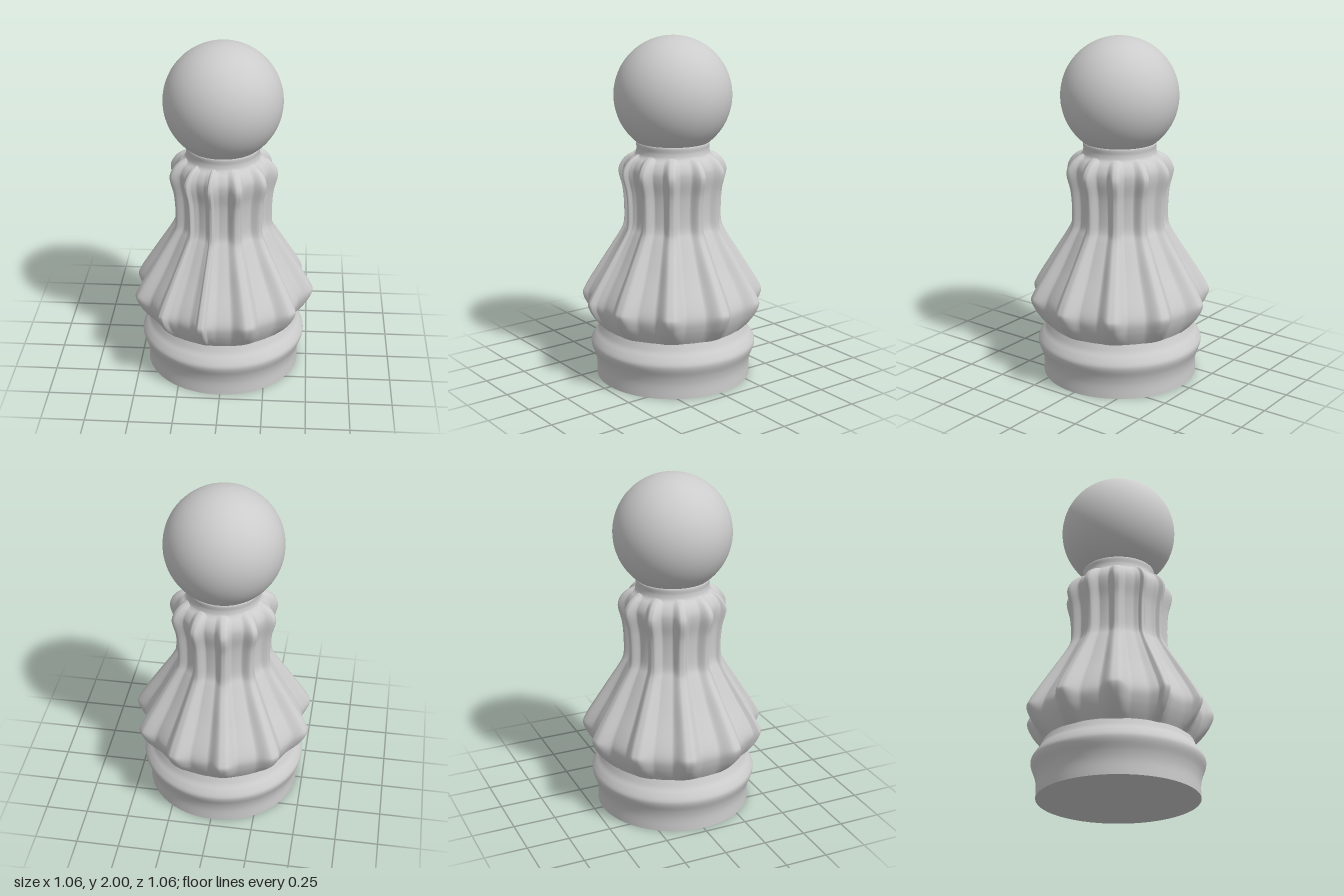
import * as THREE from 'three';

const material = new THREE.MeshStandardMaterial({ color: 0xcccccc, side: THREE.DoubleSide });

// Directions of the carved ribs in degrees, and which of them are narrow blades
const RIBS = [2.7, 37.5, 70.5, 100.6, 128.9, 160, 193.6, 227.4, 262, 295.5, 328.9];
const BLADES = [3, 4];

// Paired profiles as [radius, height]: the groove floor and the rib crest
const GROOVE = [[0.39, 0.26], [0.415, 0.305], [0.445, 0.36], [0.465, 0.41], [0.474, 0.46],
  [0.462, 0.51], [0.36, 0.7], [0.275, 0.87], [0.252, 0.92], [0.245, 1.0], [0.25, 1.12],
  [0.268, 1.22], [0.266, 1.265], [0.245, 1.305], [0.208, 1.335]];
const CREST = [[0.39, 0.26], [0.415, 0.305], [0.46, 0.35], [0.505, 0.41], [0.534, 0.48],
  [0.522, 0.515], [0.41, 0.7], [0.302, 0.875], [0.287, 0.915], [0.283, 1.0], [0.291, 1.12],
  [0.314, 1.23], [0.296, 1.278], [0.26, 1.315], [0.208, 1.34]];

const smooth = (points) =>
  new THREE.CatmullRomCurve3(points.map(([r, y]) => new THREE.Vector3(r, y, 0)));

// Height of the rib at an angle: 0 in the groove, 1 on the crest
function ribShape(deg) {
  let shape = 0;
  RIBS.forEach((rib, i) => {
    const d = Math.abs(((deg - rib + 540) % 360) - 180);
    const fall = (from, to) => 1 - THREE.MathUtils.smoothstep(d, from, to);
    const s = BLADES.includes(i) ? 0.55 * fall(1.8, 3.4) + 0.45 * fall(1.8, 10) : fall(1.5, 11);
    shape = Math.max(shape, s);
  });
  return shape;
}

// Ribbed body: rings of points blended between groove and crest
function ribbedBody() {
  const cols = 480, rows = 84;
  const groove = smooth(GROOVE), crest = smooth(CREST);
  const pos = [], index = [];
  const shapes = Array.from({ length: cols }, (_, c) => ribShape((c * 360) / cols));
  for (let j = 0; j <= rows; j++) {
    const inner = groove.getPoint(j / rows), outer = crest.getPoint(j / rows);
    for (let c = 0; c < cols; c++) {
      const a = (c / cols) * Math.PI * 2;
      const p = inner.clone().lerp(outer, shapes[c]);
      pos.push(p.x * Math.cos(a), p.y, p.x * Math.sin(a));
      if (j === rows) continue;
      const n = j * cols + c, m = j * cols + ((c + 1) % cols);
      index.push(n, n + cols, m, m, n + cols, m + cols);
    }
  }
  const geo = new THREE.BufferGeometry();
  geo.setAttribute('position', new THREE.Float32BufferAttribute(pos, 3));
  geo.setIndex(index);
  geo.computeVertexNormals();
  return geo;
}

// Smooth turned part from a few profile points
function turned(points) {
  const profile = smooth(points).getPoints(40).map((p) => new THREE.Vector2(p.x, p.y));
  return new THREE.LatheGeometry(profile, 96);
}

export function createModel() {
  const model = new THREE.Group();
  const add = (name, geometry) => {
    const mesh = new THREE.Mesh(geometry, material);
    mesh.name = name;
    model.add(mesh);
    return mesh;
  };

  // Foot with its rounded rim and flat underside
  add('foot', turned([[0.453, 0], [0.453, 0.08], [0.463, 0.13], [0.483, 0.185], [0.484, 0.21],
    [0.465, 0.245], [0.442, 0.275], [0.428, 0.305], [0.42, 0.325]]));
  add('underside', new THREE.CircleGeometry(0.453, 96)).rotation.x = Math.PI / 2;

  add('ribbedBody', ribbedBody());

  // Flared neck under the ball
  add('neck', turned([[0.23, 1.318], [0.215, 1.335], [0.209, 1.36], [0.21, 1.395], [0.2, 1.405]]));

  add('ball', new THREE.SphereGeometry(0.337, 64, 48)).position.y = 1.663;

  model.children.forEach((part) => part.position.set(-0.008, part.position.y, 0.006));
  return model;
}
